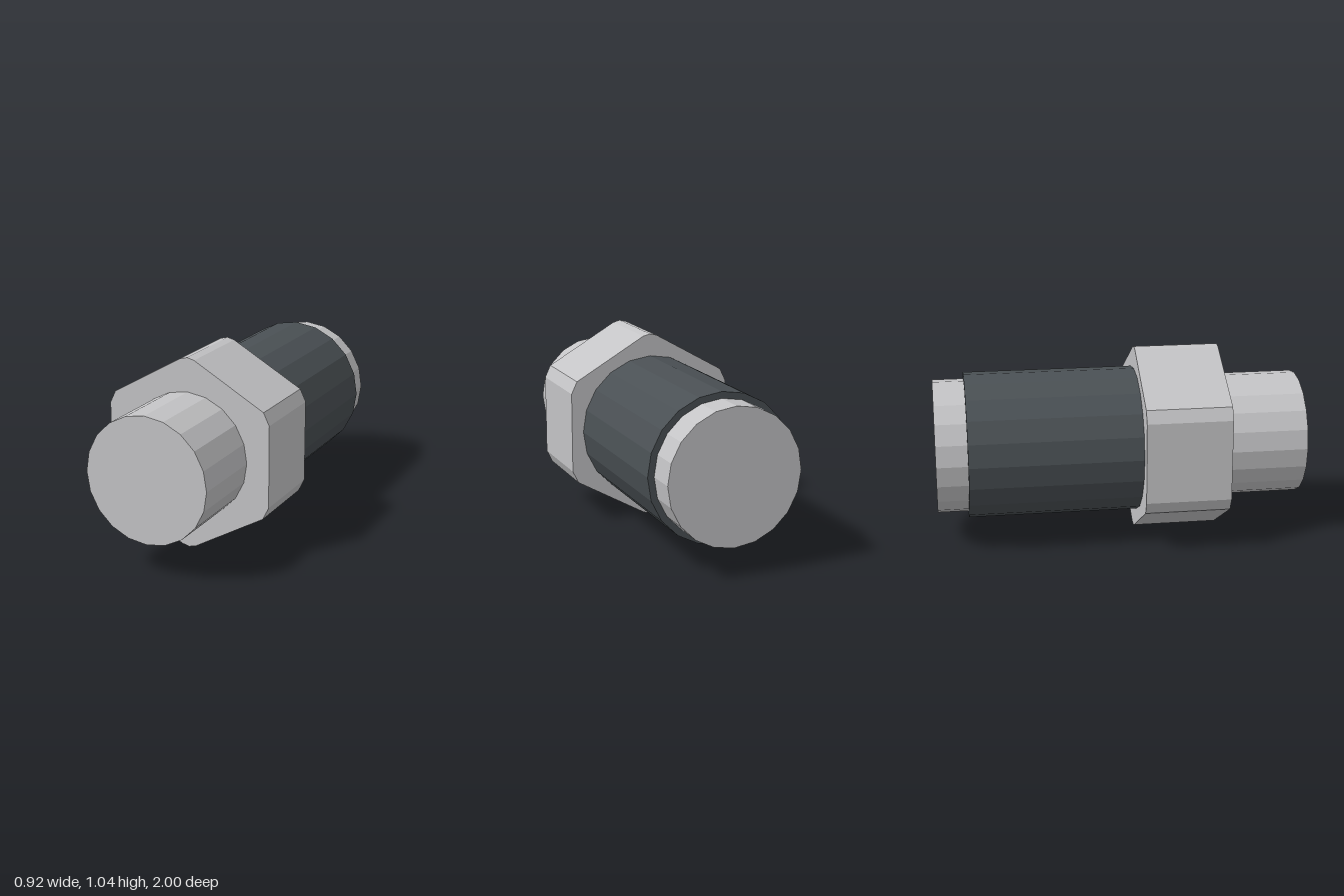
import * as THREE from 'three';

const AXIS_Y = 0.52;

export function createModel() {
  const group = new THREE.Group();
  const metal = new THREE.MeshStandardMaterial({ color: 0xc4c4c6, flatShading: true });
  metal.name = 'light metal';
  const rubber = new THREE.MeshStandardMaterial({ color: 0x4a5054, flatShading: true });
  rubber.name = 'dark sleeve';

  const add = (name, geometry, material) => {
    const mesh = new THREE.Mesh(geometry, material);
    mesh.name = name;
    mesh.position.y = AXIS_Y;
    group.add(mesh);
  };

  // Twenty-sided barrel along z, with a corner at the top
  const barrel = (name, radius, zBack, zFront, material) => {
    const geometry = new THREE.CylinderGeometry(radius, radius, zFront - zBack, 20);
    geometry.rotateX(Math.PI / 2).translate(0, 0, (zFront + zBack) / 2);
    add(name, geometry, material);
  };

  barrel('frontStub', 0.338, 0.555, 1, metal);
  barrel('sleeve', 0.397, -0.832, 0.095, rubber);
  barrel('rearStub', 0.362, -1, -0.832, metal);

  // Hexagonal nut with trimmed corners: one quarter mirrored to all four
  const quarter = [[0.462, 0.22], [0.43, 0.287], [0.04, 0.51]];
  const half = [...quarter, [0, 0.52], ...quarter.map(([x, y]) => [-x, y]).reverse()];
  const outline = [...half, ...half.map(([x, y]) => [-x, -y])];
  const nut = new THREE.ExtrudeGeometry(
    new THREE.Shape(outline.map(([x, y]) => new THREE.Vector2(x, y))),
    { depth: 0.46, bevelEnabled: false }
  );
  nut.translate(0, 0, 0.095);
  add('hexNut', nut, metal);

  return group;
}
